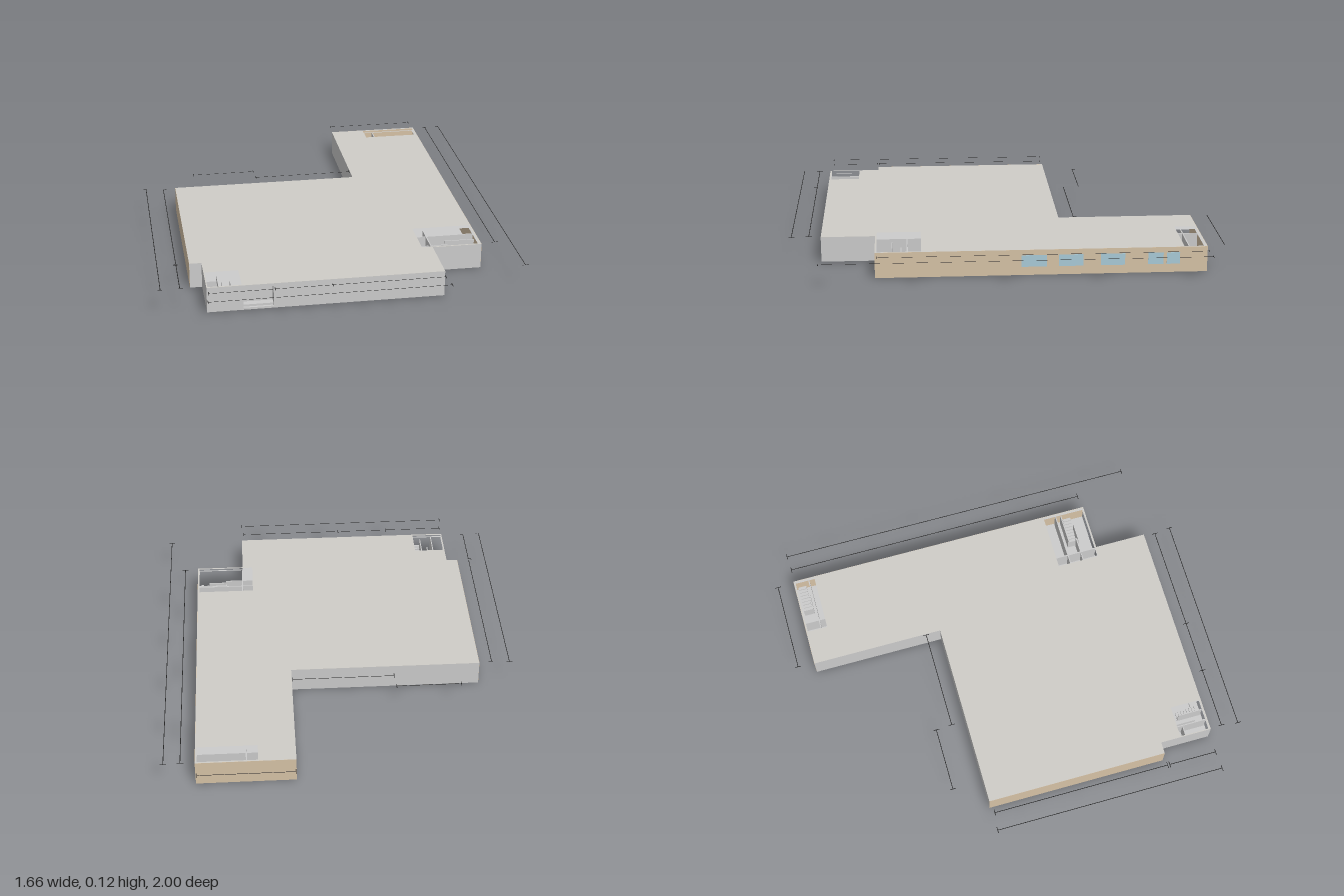
import * as THREE from 'three';

const HEIGHT = 0.12;
const material = (color, side = THREE.FrontSide) => new THREE.MeshStandardMaterial({ color, side });
const grey = material(0xcccccc);
const roofGrey = material(0xcfcdc8);
const tan = material(0xd6c2a6);
const glass = material(0xa9cbd8);
const ink = material(0x222222, THREE.DoubleSide);

// Plan outline as [x, z]
const outline = [
  [0.235, -0.905], [0.685, -0.905], [0.685, 0.6], [0.455, 0.6], [0.455, 0.85],
  [-0.61, 0.85], [-0.61, 0.6], [-0.665, 0.6], [-0.665, -0.27], [0.235, -0.27],
];
// The same outline with the entrance cut into the front wall
const notched = [
  ...outline.slice(0, 5), [-0.315, 0.85], [-0.315, 0.81], [-0.45, 0.81], [-0.45, 0.85],
  ...outline.slice(5),
];

// Open stair wells [x0, x1, z0, z1], each with partitions [x0, z0, x1, z1, height]
const wells = [
  {
    name: 'backStairwell', rect: [0.405, 0.677, -0.897, -0.8],
    walls: [
      [0.457, -0.897, 0.457, -0.8, 0.105], [0.405, -0.83, 0.677, -0.83, 0.105],
      [0.54, -0.845, 0.625, -0.845, 0.07], [0.54, -0.89, 0.54, -0.845, 0.07],
    ],
    stairs: [0.56, 0.67, -0.89, -0.85],
  },
  {
    name: 'frontStairwell', rect: [0.405, 0.677, 0.39, 0.593],
    walls: [
      [0.457, 0.39, 0.457, 0.593, 0.105], [0.405, 0.453, 0.677, 0.453, 0.105],
      [0.405, 0.522, 0.54, 0.522, 0.09], [0.54, 0.482, 0.677, 0.482, 0.09],
      [0.54, 0.482, 0.54, 0.535, 0.07], [0.54, 0.535, 0.625, 0.535, 0.07],
    ],
    stairs: [0.56, 0.67, 0.49, 0.53],
  },
  {
    name: 'cornerStairwell', rect: [-0.605, -0.455, 0.698, 0.842],
    walls: [
      [-0.552, 0.698, -0.552, 0.842, 0.105], [-0.495, 0.73, -0.495, 0.842, 0.09],
      [-0.605, 0.73, -0.552, 0.73, 0.09], [-0.53, 0.71, -0.53, 0.8, 0.07],
    ],
    stairs: [-0.49, -0.46, 0.73, 0.83],
  },
];

function add(parent, name, geometry, mat, x = 0, y = 0, z = 0) {
  const mesh = new THREE.Mesh(geometry, mat);
  mesh.name = name;
  mesh.position.set(x, y, z);
  parent.add(mesh);
  return mesh;
}

// Horizontal slab between two heights, optionally pierced by the wells
function slab(points, y0, y1, pierced) {
  const toVec = ([x, z]) => new THREE.Vector2(x, -z);
  const shape = new THREE.Shape(points.map(toVec));
  if (pierced) {
    for (const { rect: [x0, x1, z0, z1] } of wells) {
      shape.holes.push(new THREE.Path([[x0, z0], [x1, z0], [x1, z1], [x0, z1]].map(toVec)));
    }
  }
  return new THREE.ExtrudeGeometry(shape, { depth: y1 - y0, bevelEnabled: false })
    .rotateX(-Math.PI / 2).translate(0, y0, 0);
}

// Flat dimension line with a tick at each end
function dimension(parent, x0, z0, x1, z1) {
  const y = HEIGHT, w = 0.003, tick = 0.03;
  const alongX = z0 === z1;
  const flat = (sx, sz, x, z) =>
    add(parent, 'dimensionLine', new THREE.PlaneGeometry(sx, sz).rotateX(-Math.PI / 2), ink, x, y, z);
  flat(alongX ? x1 - x0 : w, alongX ? w : z1 - z0, (x0 + x1) / 2, (z0 + z1) / 2);
  for (const [x, z] of [[x0, z0], [x1, z1]]) flat(alongX ? w : tick, alongX ? tick : w, x, z);
}

export function createModel() {
  const model = new THREE.Group();
  model.name = 'building';

  // Floor, walls and roof
  add(model, 'floor', slab(outline, 0, 0.01, false), grey);
  add(model, 'walls', slab(notched, 0.01, 0.106, true), grey);
  add(model, 'roof', slab(outline, 0.106, HEIGHT - 0.001, true), grey);
  add(model, 'roofSurface', slab(outline, HEIGHT - 0.001, HEIGHT, true), roofGrey);

  // Entrance threshold
  add(model, 'threshold', new THREE.BoxGeometry(0.135, 0.01, 0.03), grey, -0.3825, 0.015, 0.825);

  // Tan cladding on both long sides and the wing end
  const t = 0.001;
  add(model, 'rightCladding', new THREE.BoxGeometry(t, HEIGHT, 1.505), tan, 0.685, HEIGHT / 2, -0.1525);
  add(model, 'leftCladding', new THREE.BoxGeometry(t, HEIGHT, 0.87), tan, -0.665, HEIGHT / 2, 0.165);
  add(model, 'backCladding', new THREE.BoxGeometry(0.45, HEIGHT, t), tan, 0.46, HEIGHT / 2, -0.905);

  // Windows along the wing
  for (const [z0, z1] of [[-0.175, -0.06], [-0.34, -0.23], [-0.53, -0.42], [-0.705, -0.635], [-0.78, -0.72]]) {
    add(model, 'window', new THREE.BoxGeometry(0.003, 0.055, z1 - z0), glass, 0.685, 0.067, (z0 + z1) / 2);
  }

  // Partitions and steps inside the open wells
  for (const { name, walls, stairs: [x0, x1, z0, z1] } of wells) {
    const well = new THREE.Group();
    well.name = name;
    model.add(well);
    for (const [ax, az, bx, bz, top] of walls) {
      const h = top - 0.01;
      add(well, 'partition', new THREE.BoxGeometry(Math.abs(bx - ax) + 0.005, h, Math.abs(bz - az) + 0.005),
        grey, (ax + bx) / 2, 0.01 + h / 2, (az + bz) / 2);
    }
    const steps = 8, alongX = x1 - x0 > z1 - z0;
    const sx = alongX ? (x1 - x0) / steps : x1 - x0;
    const sz = alongX ? z1 - z0 : (z1 - z0) / steps;
    for (let i = 0; i < steps; i++) {
      const h = 0.007 * (i + 1);
      add(well, 'step', new THREE.BoxGeometry(sx, h, sz), grey,
        x0 + sx * (alongX ? i + 0.5 : 0.5), 0.01 + h / 2, z0 + sz * (alongX ? 0.5 : i + 0.5));
    }
  }

  // Dimension lines around the plan
  const lines = new THREE.Group();
  lines.name = 'dimensionLines';
  model.add(lines);
  [
    [0.24, -0.985, 0.675, -0.985], [-0.25, -0.342, 0.23, -0.342], [-0.56, -0.42, -0.255, -0.42],
    [-0.605, 0.905, -0.315, 0.905], [-0.315, 0.905, -0.06, 0.905], [-0.06, 0.905, 0.445, 0.905],
    [-0.615, 0.985, 0.455, 0.985],
    [-0.81, -0.27, -0.81, 0.84], [-0.725, -0.26, -0.725, 0.595], [-0.725, 0.605, -0.725, 0.835],
    [0.75, -0.9, 0.75, 0.59], [0.825, -0.905, 0.825, 0.845],
  ].forEach((line) => dimension(lines, ...line));

  return model;
}
